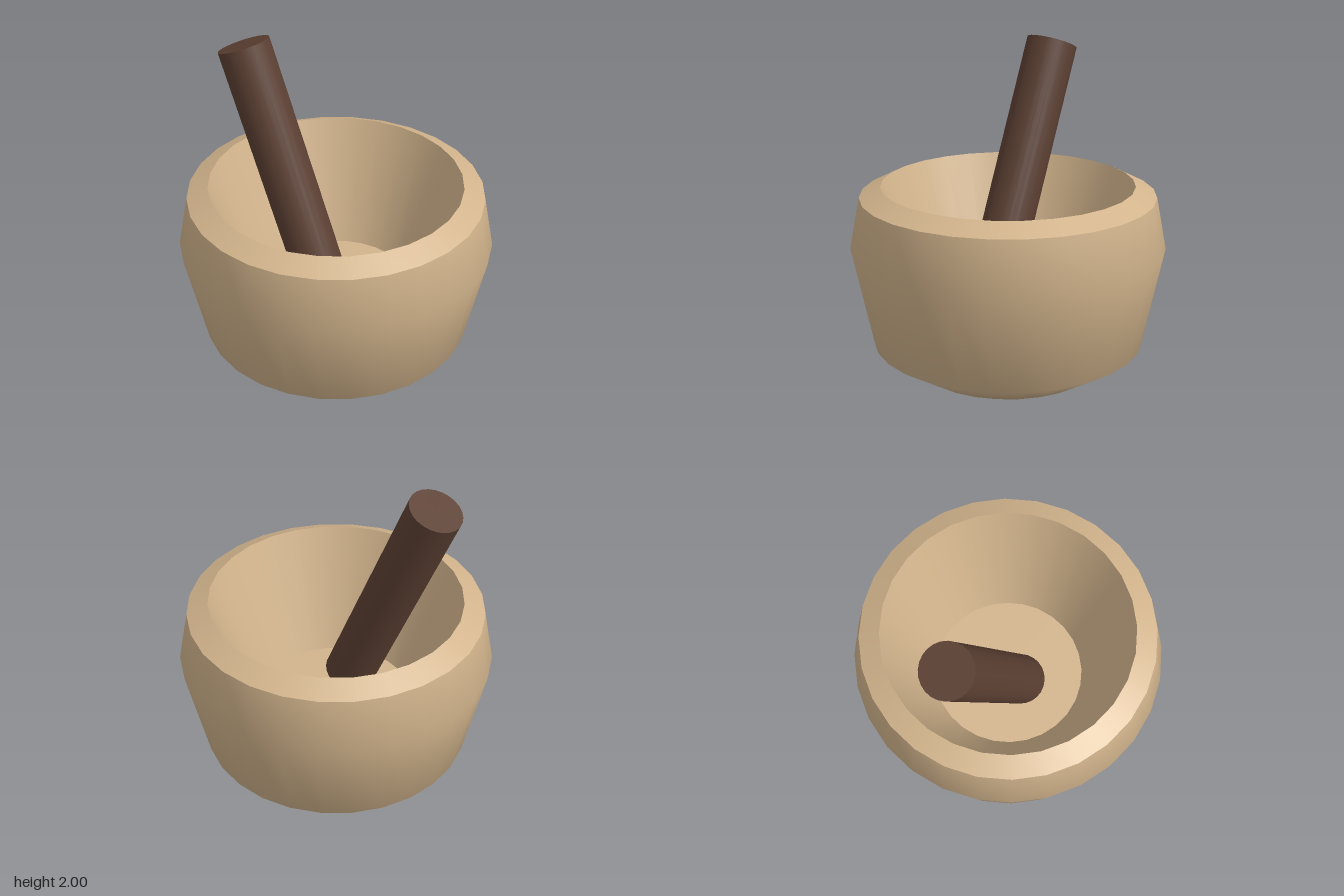
import * as THREE from 'three';

export function createModel() {
  const paleWood = new THREE.MeshStandardMaterial({ color: 0xd2b48c });
  paleWood.name = 'pale wood';
  const darkWood = new THREE.MeshStandardMaterial({ color: 0x5c4033 });
  darkWood.name = 'dark wood';

  const model = new THREE.Group();
  model.name = 'mortarAndPestle';

  // Bowl: one lathe per smooth band, so the edges between bands stay sharp
  const bowl = new THREE.Group();
  bowl.name = 'bowl';
  const bands = {
    outerBody: [[0, 0], [0.58, 0], [0.84, 0.165], [0.967, 0.78], [0.905, 1.1]],
    rim: [[0.905, 1.1], [0.775, 1.165]],
    innerWall: [[0.775, 1.165], [0.485, 0.38]],
    innerFloor: [[0.485, 0.38], [0, 0.38]],
  };
  for (const [name, points] of Object.entries(bands)) {
    const profile = points.map(([r, y]) => new THREE.Vector2(r, y));
    const mesh = new THREE.Mesh(new THREE.LatheGeometry(profile, 28), paleWood);
    mesh.name = name;
    bowl.add(mesh);
  }
  model.add(bowl);

  // Pestle: a plain rod leaning to one side inside the bowl
  const bottom = new THREE.Vector3(0, 0.51, 0.126);
  const top = new THREE.Vector3(-0.583, 1.94, 0.192);
  const axis = top.clone().sub(bottom);
  const pestle = new THREE.Mesh(new THREE.CylinderGeometry(0.16, 0.16, axis.length(), 24), darkWood);
  pestle.name = 'pestle';
  pestle.position.copy(bottom).add(top).multiplyScalar(0.5);
  pestle.quaternion.setFromUnitVectors(new THREE.Vector3(0, 1, 0), axis.normalize());
  model.add(pestle);

  return model;
}
